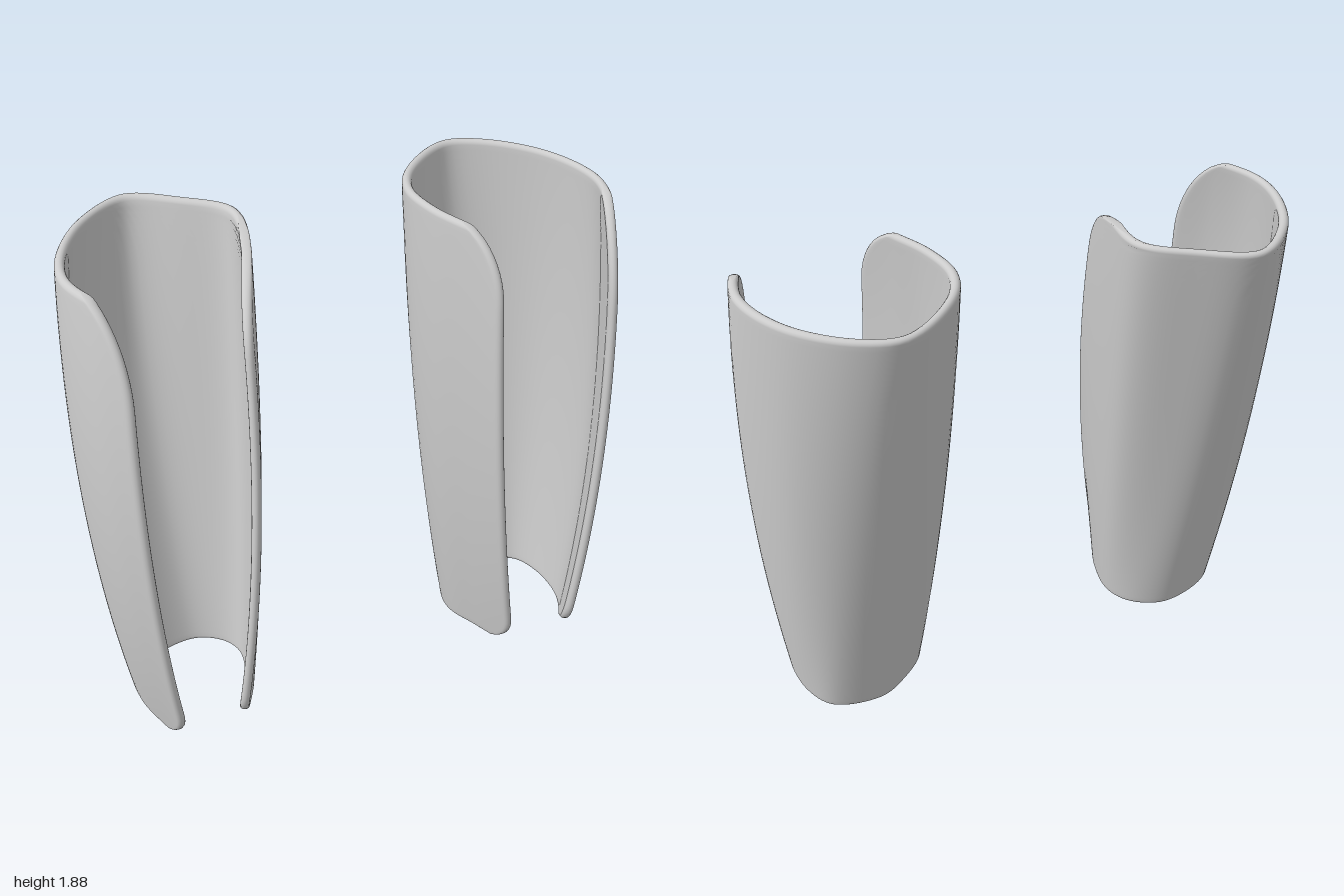
import * as THREE from 'three';
import { mergeVertices } from 'three/addons/utils/BufferGeometryUtils.js';

const HEIGHT = 1.885, MID = 0.9, HALF = 0.018; // HALF = half the shell thickness

// Sample positions along a length, crowded towards both ends for the rounded rim
function samples(length, count) {
  const out = [], n = 4;
  for (let k = 0; k < n; k++) out.push(HALF * (1 - Math.cos(k / n * Math.PI / 2)));
  for (let k = 0; k <= count; k++) {
    const t = k / count, eased = 0.5 * t + 0.25 * (1 - Math.cos(Math.PI * t));
    out.push(HALF + (length - 2 * HALF) * eased);
  }
  for (let k = n - 1; k >= 0; k--) out.push(length - out[k]);
  return out;
}

// Quarter-ellipse inset of a lip near the top and bottom corners
function cornerInset(y, [topA, topB]) {
  const quarter = (f, a) => f > 0 ? a * (1 - Math.sqrt(Math.max(0, 1 - f * f))) : 0;
  return quarter((y - HEIGHT + topB) / topB, topA) + quarter((0.15 - y) / 0.15, 0.15);
}

// Section curve at height y, blended through the bottom, middle and top outlines
function sectionAt({ bottom, middle, top }, y) {
  const b = (y - MID) * (y - HEIGHT) / (MID * HEIGHT);
  const m = y * (y - HEIGHT) / (MID * (MID - HEIGHT));
  const t = y * (y - MID) / (HEIGHT * (HEIGHT - MID));
  return new THREE.CatmullRomCurve3(bottom.map((p, i) => new THREE.Vector3(
    b * p[0] + m * middle[i][0] + t * top[i][0], y,
    b * p[1] + m * middle[i][1] + t * top[i][1])));
}

// Curved open shell with rounded rim: outer and inner skins meet at the edge
function guardGeometry(spec) {
  const rows = samples(HEIGHT, 48), cols = samples(1.6, 72);
  const nu = cols.length, nv = rows.length, layer = nu * nv;
  const skins = [[], []], index = [];
  for (const y of rows) {
    const curve = sectionAt(spec, y), length = curve.getLength();
    const start = cornerInset(y, spec.firstCorner) / length;
    const end = 1 - cornerInset(y, spec.lastCorner) / length;
    for (const c of cols) {
      const u = THREE.MathUtils.clamp(start + (end - start) * c / 1.6, 0, 1);
      const p = curve.getPointAt(u), t = curve.getTangentAt(u);
      const out = new THREE.Vector3(t.z, 0, -t.x).normalize();
      const d = Math.max(0, Math.min(c, 1.6 - c, y, HEIGHT - y, HALF));
      const h = Math.sqrt(Math.max(0, HALF * HALF - (HALF - d) ** 2));
      [h, -h].forEach((offset, k) =>
        skins[k].push(...p.clone().addScaledVector(out, offset - HALF).toArray()));
    }
  }
  for (let j = 0; j < nv - 1; j++) for (let i = 0; i < nu - 1; i++) {
    const a = j * nu + i, b = a + 1, c = a + nu, d = c + 1;
    index.push(a, c, b, b, c, d);
    index.push(a + layer, b + layer, c + layer, b + layer, d + layer, c + layer);
  }
  const geo = new THREE.BufferGeometry();
  geo.setAttribute('position', new THREE.Float32BufferAttribute(skins[0].concat(skins[1]), 3));
  geo.setIndex(index);
  const welded = mergeVertices(geo, 1e-5);
  welded.computeVertexNormals();
  return welded;
}

// Outlines as [x, z], running from the -x lip round the back to the +x lip
const rightGuard = {
  bottom: [[-0.92, 0], [-0.91, -0.15], [-0.885, -0.29], [-0.81, -0.43], [-0.71, -0.47],
    [-0.49, -0.42], [-0.4, -0.3], [-0.4, -0.18], [-0.5, -0.04], [-0.7, 0.11]],
  middle: [[-0.99, -0.02], [-1, -0.18], [-0.955, -0.37], [-0.86, -0.52], [-0.68, -0.62],
    [-0.45, -0.6], [-0.33, -0.46], [-0.265, -0.28], [-0.38, -0.08], [-0.59, 0.135]],
  top: [[-0.9, -0.12], [-0.91, -0.28], [-0.885, -0.45], [-0.78, -0.6], [-0.56, -0.745],
    [-0.33, -0.775], [-0.2, -0.59], [-0.13, -0.4], [-0.25, -0.2], [-0.46, -0.01]],
  firstCorner: [0.22, 0.35], lastCorner: [0.45, 0.28],
};
const leftGuard = {
  bottom: [[0.34, 0.64], [0.345, 0.45], [0.35, 0.31], [0.41, 0.22], [0.55, 0.18],
    [0.68, 0.185], [0.83, 0.31], [0.835, 0.45], [0.75, 0.63], [0.57, 0.775]],
  middle: [[0.25, 0.58], [0.27, 0.4], [0.29, 0.22], [0.355, 0.09], [0.5, 0.02],
    [0.74, 0], [0.89, 0.11], [0.955, 0.3], [0.87, 0.59], [0.65, 0.79]],
  top: [[0.28, 0.48], [0.29, 0.3], [0.31, 0.14], [0.38, -0.03], [0.52, -0.14],
    [0.8, -0.19], [0.92, -0.08], [1, 0.17], [0.95, 0.44], [0.72, 0.68]],
  firstCorner: [0.2, 0.25], lastCorner: [0.23, 0.35],
};

export function createModel() {
  const group = new THREE.Group();
  group.name = 'shinGuards';
  const material = new THREE.MeshStandardMaterial({ color: 0xcccccc });
  for (const [name, spec] of Object.entries({ rightGuard, leftGuard })) {
    const mesh = new THREE.Mesh(guardGeometry(spec), material);
    mesh.name = name;
    group.add(mesh);
  }
  return group;
}
